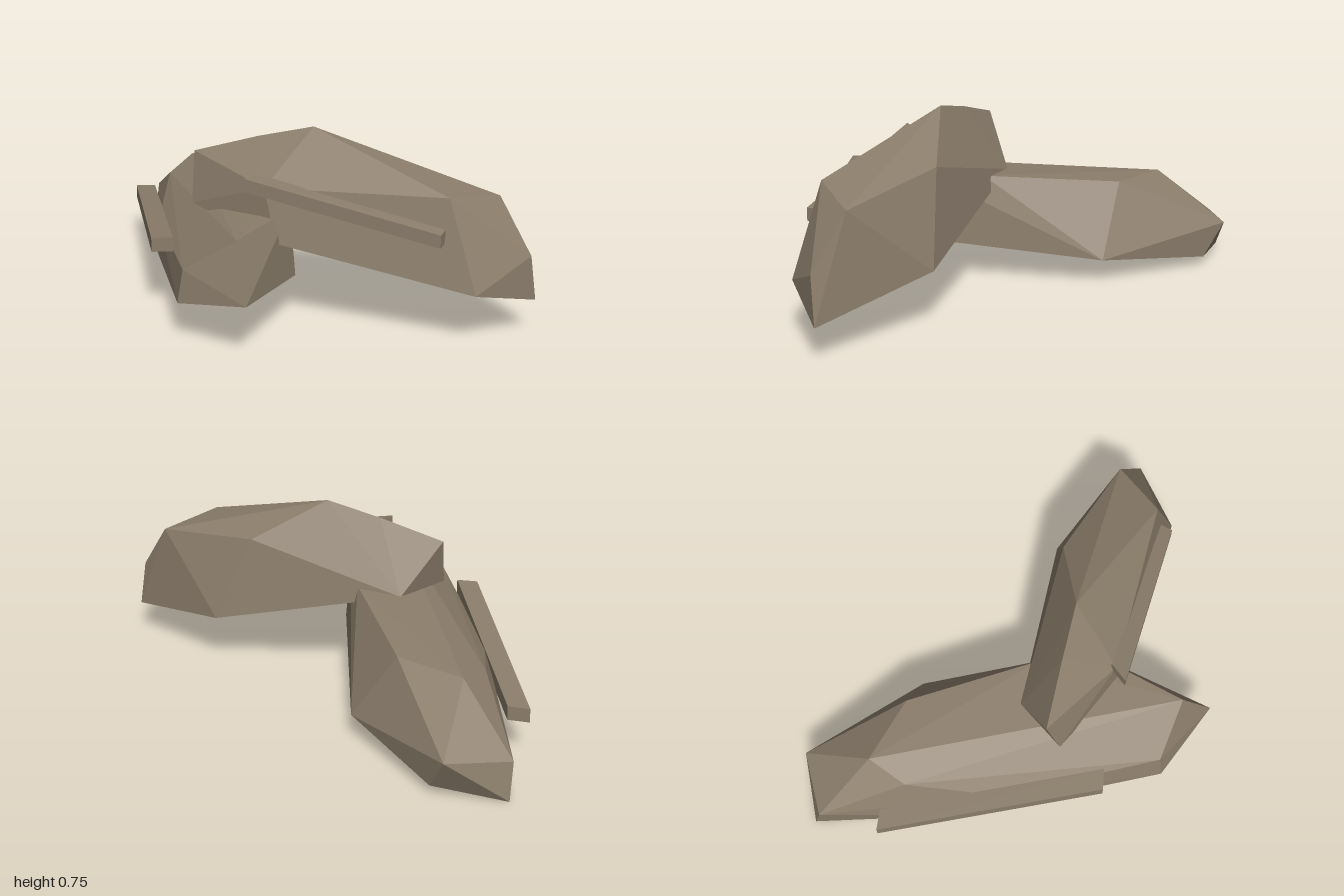
import * as THREE from 'three';
import { ConvexGeometry } from 'three/addons/geometries/ConvexGeometry.js';

const stone = new THREE.MeshStandardMaterial({ color: 0x8b7d6b });
stone.name = 'stone';

// Faceted solid spanned by its corner points
function facetedSolid(name, corners) {
  const mesh = new THREE.Mesh(
    new ConvexGeometry(corners.map((c) => new THREE.Vector3(...c))), stone);
  mesh.name = name;
  return mesh;
}

// Straight ledge given by the top corners of its two ends and its height
function ledge(name, topCorners, height) {
  const bottom = topCorners.map(([x, y, z]) => [x, y - height, z]);
  return facetedSolid(name, [...topCorners, ...bottom]);
}

export function createModel() {
  const model = new THREE.Group();
  model.name = 'rockPile';

  // Long slab lying low, with a flat tilted underside
  model.add(facetedSolid('lowerRock', [
    // underside
    [-1, 0, -0.15], [-0.79, 0.04, -0.355], [-0.3, 0.105, -0.355],
    [0.32, 0.17, 0.06], [0.58, 0.235, 0.48], [0.26, 0.16, 0.57], [-0.5, 0.085, 0.21],
    // sides
    [-0.98, 0.15, -0.12], [-0.88, 0.18, -0.365], [-0.35, 0.245, 0.27], [0.26, 0.29, 0.545],
    // top
    [-0.7, 0.37, -0.13], [-0.64, 0.325, 0.03], [-0.44, 0.385, -0.24],
    [0.08, 0.43, -0.05], [0.28, 0.435, 0.06], [0.45, 0.44, 0.43],
  ]));

  // Taller boulder leaning across the slab
  model.add(facetedSolid('upperRock', [
    // underside
    [-0.08, 0.41, 0.05], [-0.06, 0.41, 0.29], [0.36, 0.343, 0.185],
    [0.975, 0.222, -0.28], [1, 0.145, -0.572], [0.5, 0.24, -0.48],
    // far end
    [0.995, 0.33, -0.54], [0.845, 0.535, -0.51], [0.84, 0.575, -0.255],
    // top
    [-0.1, 0.61, 0.25], [0.1, 0.69, 0.08], [0.27, 0.745, -0.06],
    [0.42, 0.59, -0.34],
    // front bulge
    [0.29, 0.55, 0.19],
  ]));

  // Thin ledges along the front faces
  model.add(ledge('lowerLedge', [
    [-0.83, 0.225, 0.09], [-0.77, 0.23, 0.03],
    [-0.01, 0.325, 0.515], [0.045, 0.33, 0.45],
  ], 0.058));
  model.add(ledge('upperLedge', [
    [0.27, 0.597, 0.27], [0.27, 0.592, 0.18],
    [0.875, 0.455, -0.185], [0.85, 0.46, -0.23],
  ], 0.052));

  return model;
}
